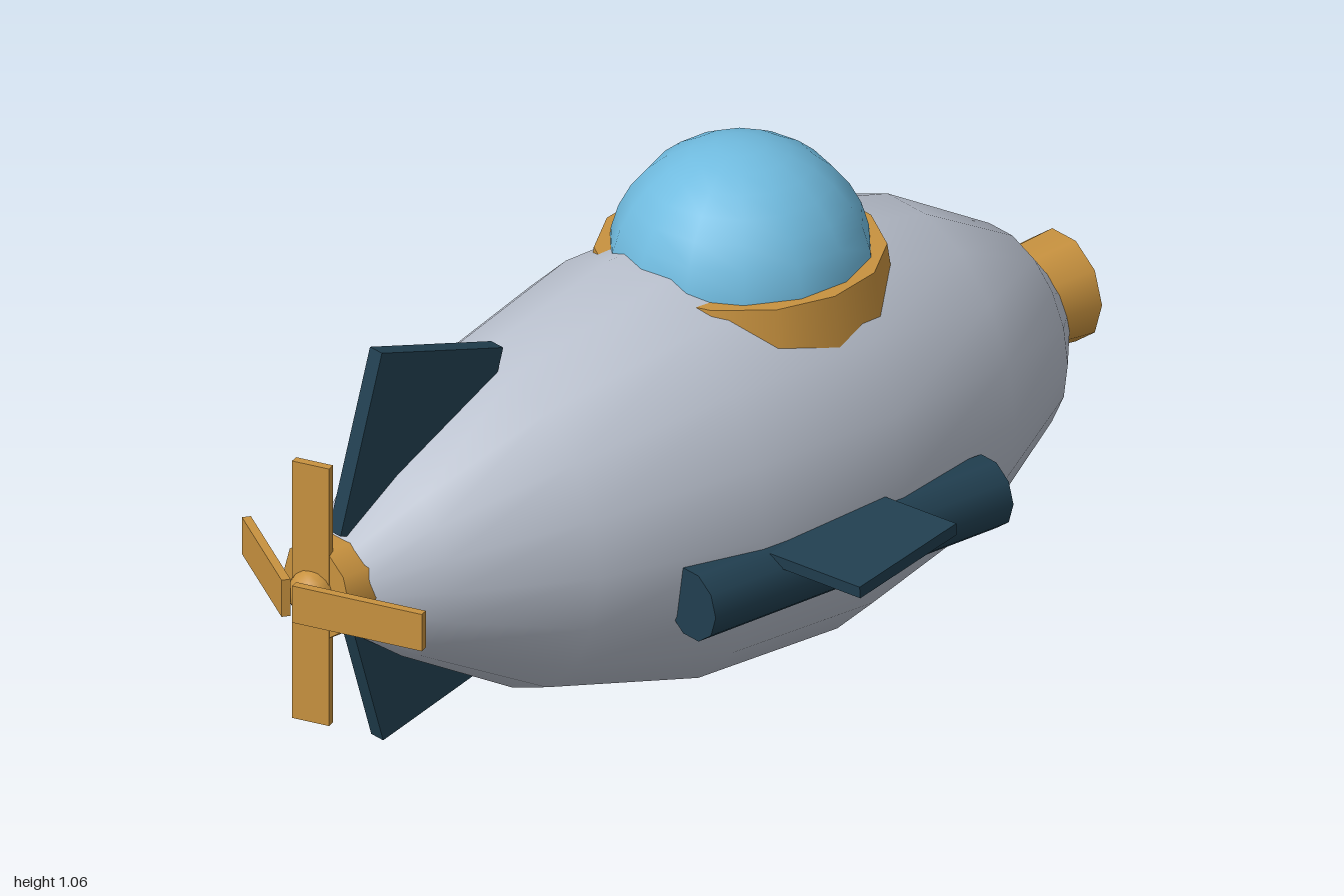
import * as THREE from 'three';

const mat = (name, color) => {
  const m = new THREE.MeshStandardMaterial({ color });
  m.name = name;
  return m;
};

export function createModel() {
  const group = new THREE.Group();
  const hullGrey = mat('hull grey', 0xb9c0cd);
  const brass = mat('brass', 0xc8923f);
  const navy = mat('dark navy', 0x213f50);
  const glass = mat('dome glass', 0x70bbdf);
  const lampBlue = mat('lamp blue', 0x35a5de);

  const add = (name, geometry, material, x, y, z, parent = group) => {
    const mesh = new THREE.Mesh(geometry, material);
    mesh.name = name;
    mesh.position.set(x, y, z);
    parent.add(mesh);
    return mesh;
  };
  // Cylinder lying along x
  const tube = (rFront, rBack, length, sides) =>
    new THREE.CylinderGeometry(rFront, rBack, length, sides).rotateZ(-Math.PI / 2);
  // Flattened lamp facing +x
  const lens = (r, depth) =>
    new THREE.SphereGeometry(r, 12, 10).scale(depth / r, 1, 1);

  // Hull: turned profile laid along x, slightly taller than wide
  const profile = [
    [0, -0.9], [0.095, -0.87], [0.182, -0.74], [0.317, -0.48], [0.4, -0.13],
    [0.406, 0.22], [0.328, 0.565], [0.202, 0.805], [0.06, 0.93], [0, 0.95],
  ].map(([r, x]) => new THREE.Vector2(r, x));
  const hull = new THREE.LatheGeometry(profile, 18).rotateZ(-Math.PI / 2).scale(1, 1.087, 1);
  add('hull', hull, hullGrey, 0, 0.437, 0);

  // Cockpit
  add('domeCollar', new THREE.CylinderGeometry(0.285, 0.313, 0.2, 14), brass, 0.145, 0.735, 0);
  add('dome', new THREE.SphereGeometry(0.262, 14, 8, 0, Math.PI * 2, 0, Math.PI / 2), glass, 0.145, 0.798, 0);

  // Nose lamp
  add('noseRing', tube(0.115, 0.105, 0.12, 10), brass, 0.905, 0.48, 0);
  add('noseLamp', lens(0.092, 0.035), lampBlue, 0.965, 0.48, 0);

  // Side pods with lamps, and side fins
  for (const s of [1, -1]) {
    const side = s > 0 ? 'front' : 'back';
    add(side + 'Pod', tube(0.075, 0.075, 0.755, 10), navy, 0.0775, 0.346, s * 0.38);
    add(side + 'PodLamp', lens(0.052, 0.035), lampBlue, 0.455, 0.346, s * 0.38);
    const fin = add(side + 'SideFin', new THREE.BoxGeometry(0.295, 0.025, 0.34), navy, 0.03, 0.412, s * 0.44);
    fin.rotation.set(0, s * 0.18, 0.08);
  }

  // Tail fins
  add('upperTailFin', new THREE.BoxGeometry(0.32, 0.38, 0.036), navy, -0.678, 0.683, 0).rotation.z = -0.28;
  add('lowerTailFin', new THREE.BoxGeometry(0.28, 0.3, 0.036), navy, -0.683, 0.248, 0).rotation.z = 0.28;

  // Propeller
  add('tailRing', tube(0.1, 0.1, 0.08, 10), brass, -0.89, 0.436, 0);
  const propeller = new THREE.Group();
  propeller.name = 'propeller';
  propeller.position.set(-0.94, 0.436, 0);
  group.add(propeller);
  add('hub', new THREE.SphereGeometry(0.05, 10, 8), brass, 0, 0, 0, propeller);
  for (const s of [1, -1]) {
    const upright = new THREE.BoxGeometry(0.018, 0.28, 0.08);
    add('uprightBlade', upright, brass, 0, s * 0.14, 0, propeller).rotation.y = 0.42;
    const level = new THREE.BoxGeometry(0.018, 0.08, 0.28);
    add('levelBlade', level, brass, 0, 0, s * 0.14, propeller).rotation.y = s * 0.42;
  }
  return group;
}
